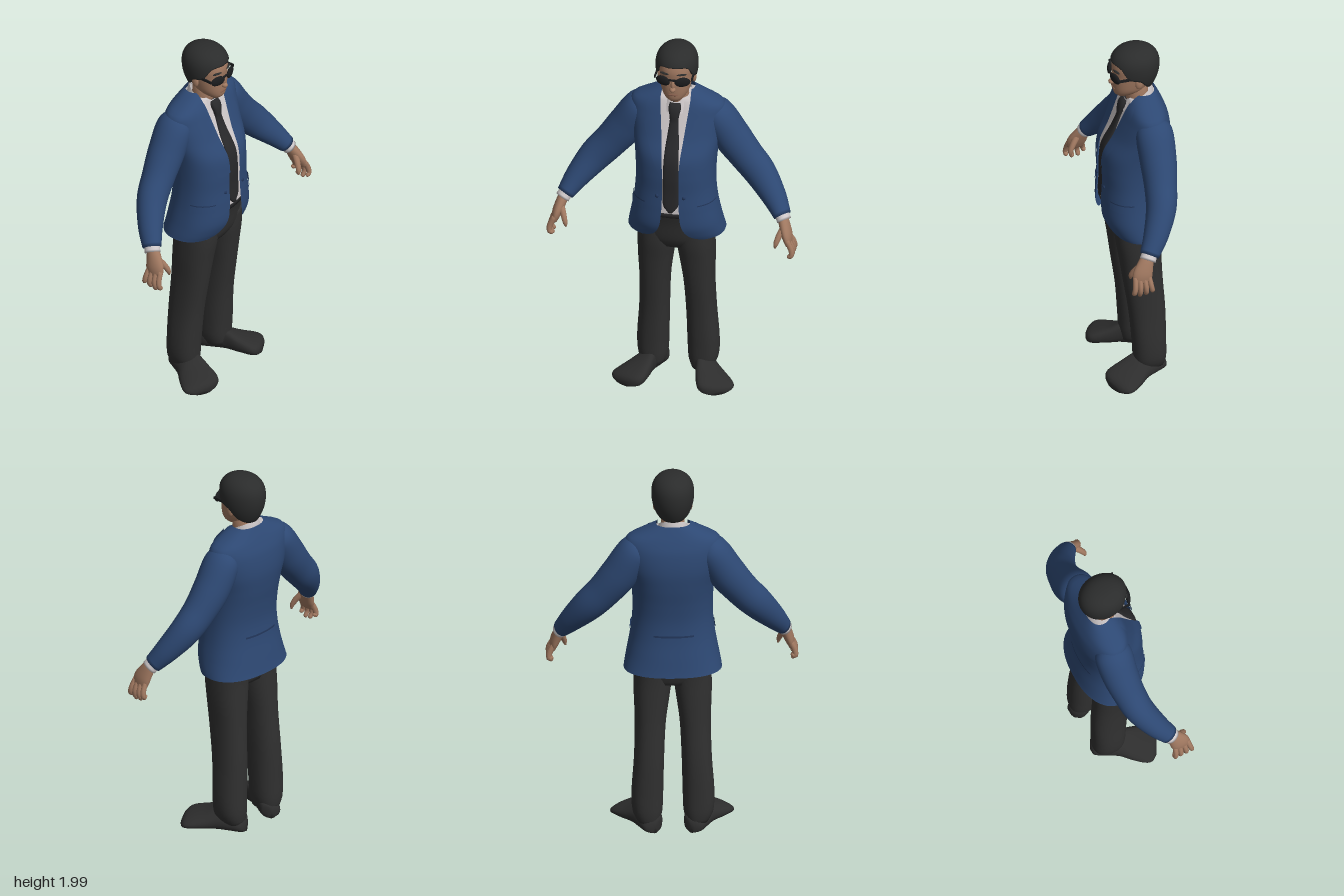
import * as THREE from 'three';

const mat = (name, color, side = THREE.FrontSide) => {
  const m = new THREE.MeshStandardMaterial({ color, side });
  m.name = name;
  return m;
};

// Cubic interpolation of a table whose rows are [key, ...values], keys ascending.
function sample(table, key) {
  const n = table.length;
  let i = 0;
  while (i < n - 2 && key > table[i + 1][0]) i++;
  const p1 = table[i], p2 = table[i + 1];
  const p0 = table[Math.max(i - 1, 0)], p3 = table[Math.min(i + 2, n - 1)];
  const h = p2[0] - p1[0], t = THREE.MathUtils.clamp((key - p1[0]) / h, 0, 1);
  return p1.slice(1).map((a, c) => {
    const b = p2[c + 1];
    const m1 = ((b - p0[c + 1]) / (p2[0] - p0[0])) * h;
    const m2 = ((p3[c + 1] - a) / (p3[0] - p1[0])) * h;
    const t2 = t * t, t3 = t2 * t;
    return (2 * t3 - 3 * t2 + 1) * a + (t3 - 2 * t2 + t) * m1 + (3 * t2 - 2 * t3) * b + (t3 - t2) * m2;
  });
}
const steps = (a, b, n) => Array.from({ length: n + 1 }, (_, i) => a + ((b - a) * i) / n);
const spow = (v, p) => Math.sign(v) * Math.abs(v) ** p;

// Skin over rows of points; wrap joins the row ends, cap closes both ends.
function skin(rows, wrap = true, cap = true) {
  const pos = rows.flat(2), idx = [], n = rows[0].length;
  for (let i = 0; i < rows.length - 1; i++)
    for (let j = 0; j < (wrap ? n : n - 1); j++) {
      const a = i * n + j, b = i * n + ((j + 1) % n);
      idx.push(a, b, b + n, a, b + n, a + n);
    }
  if (cap) [0, rows.length - 1].forEach((r) => {
    const c = pos.length / 3;
    pos.push(...[0, 1, 2].map((k) => rows[r].reduce((s, p) => s + p[k], 0) / n));
    for (let j = 0; j < n; j++) {
      const a = r * n + j, b = r * n + ((j + 1) % n);
      idx.push(c, ...(r ? [a, b] : [b, a]));
    }
  });
  const g = new THREE.BufferGeometry();
  g.setAttribute('position', new THREE.Float32BufferAttribute(pos, 3));
  g.setIndex(idx);
  g.computeVertexNormals();
  return g;
}

// Horizontal superellipse ring, starting at the front.
const ringY = (y, x0, x1, front, back, pow = 2.3, n = 32) => steps(0, Math.PI * 2, n).slice(0, n).map((t) => [
  (x0 + x1) / 2 + ((x1 - x0) / 2) * spow(Math.sin(t), 2 / pow), y,
  (front + back) / 2 + ((front - back) / 2) * spow(Math.cos(t), 2 / pow)]);

// Limb along a path; rows are [key, x, y, z, radius across, radius in depth].
function limb(table, count = 24, sides = 20) {
  const s = steps(table[0][0], table.at(-1)[0], count).map((k) => sample(table, k));
  return skin(s.map((p, i) => {
    const at = (q) => new THREE.Vector3(q[0], q[1], q[2]);
    const d = at(s[Math.min(i + 1, count)]).sub(at(s[Math.max(i - 1, 0)])).normalize();
    const u = d.clone().cross(new THREE.Vector3(0, 0, 1)).normalize(), v = d.clone().cross(u);
    return steps(0, Math.PI * 2, sides).slice(0, sides).map((t) =>
      at(p).addScaledVector(u, p[3] * Math.cos(t)).addScaledVector(v, p[4] * Math.sin(t)).toArray());
  }));
}

// Torso rows: height, half width, front z, back z, half width of the jacket opening
const TORSO = [
  [0.91, 0.252, 0.14, -0.185, 0.155], [0.935, 0.248, 0.155, -0.18, 0.1], [1.0, 0.235, 0.178, -0.17, 0.06],
  [1.1, 0.217, 0.18, -0.155, 0.046], [1.2, 0.207, 0.175, -0.15, 0.043], [1.3, 0.207, 0.175, -0.16, 0.043],
  [1.4, 0.215, 0.163, -0.176, 0.047], [1.5, 0.232, 0.115, -0.185, 0.057], [1.6, 0.245, 0.075, -0.174, 0.068],
  [1.66, 0.235, 0.052, -0.152, 0.075], [1.7, 0.16, 0.035, -0.132, 0.078], [1.735, 0.088, 0.01, -0.112, 0.075]];
const POW = 2.3;
function torsoPoint(y, t, off) {
  const [a, f, b] = sample(TORSO, y);
  return [(a + off) * spow(Math.sin(t), 2 / POW), y, (f + b) / 2 + ((f - b) / 2 + off) * spow(Math.cos(t), 2 / POW)];
}
function angleAtX(y, x) {
  return Math.asin(Math.min(1, x / sample(TORSO, y)[0]) ** (POW / 2));
}
// Patch lying on the torso between two angles that may vary with height.
const patch = (y0, y1, rows, cols, from, to, off) => skin(steps(y0, y1, rows).map((y) =>
  steps(from(y), to(y), cols).map((t) => torsoPoint(y, t, off))), false, false);

export function createModel() {
  const model = new THREE.Group();
  const blue = mat('jacketBlue', 0x2d4873, THREE.DoubleSide);
  const navy = mat('darkBlue', 0x22365a, THREE.DoubleSide);
  const white = mat('shirtWhite', 0xcdc7c8, THREE.DoubleSide);
  const charcoal = mat('trouserBlack', 0x303030);
  const black = mat('tieBlack', 0x28282a);
  const shoeBlack = mat('shoeBlack', 0x2d2d2d);
  const hairBlack = mat('hairBlack', 0x2b2c2c, THREE.DoubleSide);
  const skinTone = mat('skin', 0xa07860);
  const lipTone = mat('lips', 0x845c4b);
  const glass = mat('glassesBlack', 0x1b1c1e);
  const add = (name, geo, material, parent = model) => {
    const m = new THREE.Mesh(geo, material);
    m.name = name;
    parent.add(m);
    return m;
  };
  const blob = (name, x, y, z, sx, sy, sz, material, parent = model) => {
    const m = add(name, new THREE.SphereGeometry(1, 20, 14), material, parent);
    m.position.set(x, y, z);
    m.scale.set(sx, sy, sz);
    return m;
  };

  // Jacket body, open down the front with rounded hem corners
  add('jacketBody', patch(0.91, 1.735, 60, 56, (y) => angleAtX(y, sample(TORSO, y)[3]),
    (y) => Math.PI * 2 - angleAtX(y, sample(TORSO, y)[3]), 0), blue);
  add('backSeam', patch(1.125, 1.135, 1, 16, () => 2.7, () => 3.6, 0.003), navy);

  // Shirt, collar and tie
  add('shirt', skin(steps(1.06, 1.7, 30).map((y) => steps(0, Math.PI * 2, 40).slice(0, 40)
    .map((t) => torsoPoint(y, t, -0.014)))), white);
  const collarRing = ([cy, ty, cz, dz, rx]) => steps(0, Math.PI * 2, 32).slice(0, 32)
    .map((t) => [rx * Math.sin(t), cy + ty * Math.cos(t), cz + dz * Math.cos(t)]);
  add('shirtCollar', skin([[1.665, -0.045, -0.025, 0.086, 0.088], [1.695, -0.043, -0.028, 0.079, 0.08],
    [1.722, -0.04, -0.03, 0.07, 0.071]].map(collarRing), true, false), white);
  const TIE = [[1.09, 0.012, 0], [1.13, 0.04, 0], [1.3, 0.041, 0], [1.45, 0.036, 0], [1.585, 0.023, 0.002],
    [1.61, 0.024, 0.012], [1.655, 0.033, 0.02], [1.678, 0.027, 0.014]];
  add('tie', skin(steps(1.09, 1.678, 40).map((y) => {
    const [w, bulge] = sample(TIE, y), z = sample(TORSO, y)[1];
    return ringY(y, -w, w, z - 0.003 + bulge, z - 0.03, 2.6, 20);
  })), black);

  // Trouser seat
  const SEAT = [[0.83, 0.17, 0.09, -0.1], [0.88, 0.197, 0.118, -0.117], [1.0, 0.197, 0.14, -0.135], [1.085, 0.196, 0.163, -0.135]];
  add('trouserSeat', skin(steps(0.83, 1.085, 12).map((y) => {
    const [a, f, b] = sample(SEAT, y);
    return ringY(y, -a, a, f, b);
  })), charcoal);
  add('belt', skin([1.055, 1.08].map((y) => ringY(y, -0.198, 0.198, 0.168, -0.135))), black);

  // Head and neck
  const head = new THREE.Group();
  head.name = 'head';
  model.add(head);
  const HEAD = [[1.712, 0.028, 0.08, 0.02], [1.73, 0.05, 0.097, -0.03], [1.76, 0.07, 0.103, -0.07], [1.8, 0.08, 0.105, -0.09],
    [1.85, 0.087, 0.104, -0.11], [1.9, 0.091, 0.105, -0.12], [1.95, 0.082, 0.085, -0.105], [1.985, 0.04, 0.04, -0.06]];
  add('face', skin(steps(1.712, 1.985, 32).map((y) => {
    const [a, f, b] = sample(HEAD, y);
    return ringY(y, -a, a, f, b, 2.2);
  })), skinTone, head);
  add('neck', skin([ringY(1.62, -0.065, 0.065, 0.03, -0.095, 2), ringY(1.7, -0.06, 0.06, 0.032, -0.085, 2),
    ringY(1.8, -0.06, 0.06, 0.04, -0.08, 2)]), skinTone, head);
  blob('nose', 0, 1.8, 0.106, 0.016, 0.014, 0.02, skinTone, head);
  blob('noseBridge', 0, 1.823, 0.102, 0.011, 0.03, 0.013, skinTone, head);
  blob('mouth', 0, 1.764, 0.101, 0.026, 0.006, 0.006, lipTone, head);

  // Hair cap with a hairline that drops from the forehead to the nape
  const HAIRLINE = [[0, 1.93], [0.75, 1.918], [1.1, 1.86], [1.6, 1.838], [1.95, 1.79], [2.5, 1.762], [Math.PI, 1.757]];
  const hairRadius = (h) => h < 0.11 ? (1 - (1 - h / 0.11) ** 2.4) ** (1 / 2.4) : 1 - 0.33 * ((h - 0.11) / 0.135) ** 2;
  const hairRow = (s, tuck) => steps(0, Math.PI * 2, 48).slice(0, 48).map((t) => {
    const h = (2 - sample(HAIRLINE, Math.min(t, Math.PI * 2 - t))[0]) * s ** 1.8;
    const r = hairRadius(h) * tuck;
    return [0.11 * r * Math.sin(t), 2 - h, -0.014 + 0.13 * r * Math.cos(t)];
  });
  add('hair', skin([hairRow(1, 0.78), ...steps(1, 0.02, 24).map((s) => hairRow(s, 1))]), hairBlack, head);

  // Sunglasses
  const bridge = add('glassesBridge', new THREE.BoxGeometry(0.04, 0.009, 0.008), glass, head);
  bridge.position.set(0, 1.862, 0.117);

  // Everything that comes in pairs is built on the left, then mirrored
  const LEG = [[0.05, 0.07, 0.18, 0.02, -0.132], [0.1, 0.055, 0.206, 0.03, -0.14], [0.2, 0.05, 0.213, 0.036, -0.14],
    [0.4, 0.045, 0.2, 0.052, -0.138], [0.6, 0.035, 0.195, 0.08, -0.126], [0.75, 0.015, 0.2, 0.1, -0.12],
    [0.85, 0.002, 0.2, 0.115, -0.117], [0.95, 0, 0.197, 0.12, -0.12]];
  const ARM = [[0, 0.15, 1.63, -0.06, 0.04, 0.05], [1, 0.195, 1.585, -0.06, 0.085, 0.095], [2, 0.27, 1.46, -0.06, 0.097, 0.095],
    [3, 0.35, 1.355, -0.05, 0.09, 0.085], [4, 0.43, 1.265, -0.03, 0.084, 0.078], [5, 0.51, 1.165, 0.02, 0.065, 0.065],
    [6, 0.567, 1.083, 0.073, 0.045, 0.05]];
  const SHOE = [[-0.05, 0.02, 0.06], [-0.035, 0.05, 0.08], [0.03, 0.06, 0.11], [0.1, 0.064, 0.115],
    [0.17, 0.085, 0.09], [0.24, 0.098, 0.068], [0.272, 0.085, 0.055], [0.288, 0.05, 0.04]];
  const LAPEL = [[1.3, 0.004], [1.4, 0.045], [1.56, 0.085], [1.6, 0.07], [1.66, 0.07], [1.7, 0.04]];
  for (const [label, sx] of [['left', 1], ['right', -1]]) {
    const half = new THREE.Group();
    half.name = label + 'Half';
    half.scale.x = sx;
    model.add(half);

    add('trouserLeg', skin(steps(0.05, 0.95, 36).map((y) => ringY(y, ...sample(LEG, y)))), charcoal, half);
    add('sleeve', limb(ARM, 36, 28), blue, half);
    add('shirtCuff', limb([[0, 0.558, 1.095, 0.066, 0.036, 0.04], [1, 0.579, 1.062, 0.086, 0.038, 0.043]], 4), white, half);

    // Shoe turned outwards, high inside and low outside
    add('shoe', skin(steps(-0.05, 0.288, 30).map((s) => {
      const [w, h] = sample(SHOE, s);
      return steps(0, Math.PI * 2, 24).slice(0, 24).map((t) => {
        const c = w * spow(Math.cos(t), 0.85);
        return [0.115 + 0.46 * s + 0.89 * c,
          0.008 + (h * (spow(Math.sin(t), 0.8) + 1) / 2) * (1 - 0.3 * Math.cos(t)), -0.09 + 0.89 * s - 0.46 * c];
      });
    })), shoeBlack, half);

    // Lapel, pocket flap and button
    const edge = (y) => sample(TORSO, y)[3];
    add('lapel', patch(1.3, 1.7, 32, 8, (y) => angleAtX(y, edge(y)),
      (y) => angleAtX(y, edge(y) + sample(LAPEL, y)[0]), 0.007), blue, half);
    add('pocketFlap', patch(1.09, 1.135, 4, 10, () => 0.62, () => 1.4, 0.006), blue, half);
    add('pocketLine', patch(1.132, 1.138, 1, 10, () => 0.62, () => 1.4, 0.007), navy, half);
    blob('button', 0.07, 1.185, 0.168, 0.01, 0.01, 0.008, navy, half);

    // Hand with four fingers and a thumb
    add('palm', limb([[0, 0.57, 1.08, 0.08, 0.026, 0.032], [1, 0.583, 1.045, 0.098, 0.028, 0.042],
      [2, 0.6, 0.995, 0.118, 0.026, 0.052], [3, 0.612, 0.95, 0.125, 0.016, 0.046]], 14), skinTone, half);
    [0.082, 0.109, 0.137, 0.164].forEach((z, i) => {
      const tip = [0.905, 0.88, 0.875, 0.89][i], spread = (z - 0.123) * 0.15;
      add('finger', limb([[0, 0.605, 0.985, z - spread, 0.014, 0.014], [1, 0.628, 0.94, z, 0.015, 0.014],
        [2, 0.632, 0.908, z + spread, 0.013, 0.013], [3, 0.618, tip + 0.006, z + spread, 0.011, 0.011],
        [4, 0.614, tip, z + spread, 0.004, 0.004]], 14, 10), skinTone, half);
    });
    add('thumb', limb([[0, 0.582, 1.04, 0.115, 0.018, 0.018], [1, 0.562, 1.0, 0.148, 0.016, 0.016],
      [2, 0.55, 0.965, 0.166, 0.013, 0.013], [3, 0.545, 0.94, 0.168, 0.005, 0.005]], 12, 10), skinTone, half);

    // Ear, eyebrow, lens and temple arm
    blob('ear', 0.09, 1.82, -0.012, 0.012, 0.032, 0.02, skinTone, half);
    blob('eyebrow', 0.045, 1.888, 0.096, 0.026, 0.005, 0.008, hairBlack, half).rotation.y = 0.35;
    blob('lens', 0.051, 1.85, 0.105, 0.041, 0.027, 0.012, glass, half).rotation.y = 0.35;
    const temple = add('templeArm', new THREE.BoxGeometry(0.007, 0.014, 0.105), glass, half);
    temple.position.set(0.096, 1.86, 0.042);
  }
  return model;
}
